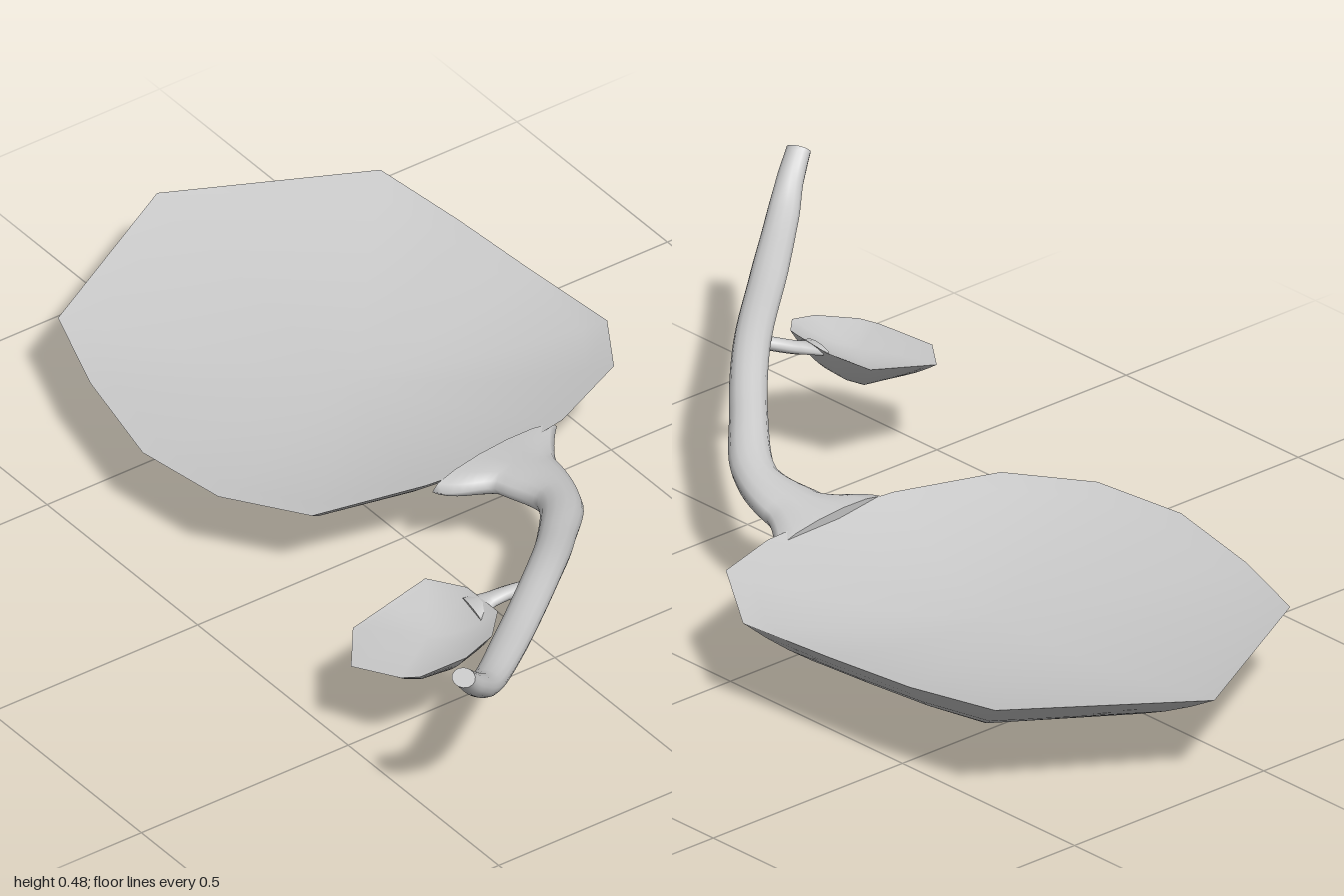
import * as THREE from 'three';
import { mergeGeometries } from 'three/addons/utils/BufferGeometryUtils.js';

const grey = new THREE.MeshStandardMaterial({ color: 0xcccccc, side: THREE.DoubleSide });

function makeGeometry(positions, index) {
  const g = new THREE.BufferGeometry();
  g.setAttribute('position', new THREE.Float32BufferAttribute(positions, 3));
  g.setIndex(index);
  g.computeVertexNormals();
  return g;
}

// One sheet of a leaf: rings shrink from the rim to the centre, following a bowl curve
function leafSheet(rim, centre, power, flip) {
  const rings = 10, n = rim.length;
  const pos = [...centre], idx = [];
  const tri = (a, b, c) => (flip ? idx.push(a, c, b) : idx.push(a, b, c));
  for (let r = 1; r <= rings; r++) {
    const t = r / rings;
    for (const [x, y, z] of rim) {
      pos.push(
        THREE.MathUtils.lerp(centre[0], x, t),
        THREE.MathUtils.lerp(centre[1], y, t ** power),
        THREE.MathUtils.lerp(centre[2], z, t)
      );
    }
  }
  for (let i = 0; i < n; i++) {
    const k = (i + 1) % n;
    tri(0, 1 + i, 1 + k);
    for (let r = 0; r < rings - 1; r++) {
      const a = 1 + r * n, b = a + n;
      tri(a + i, b + i, b + k);
      tri(a + i, b + k, a + k);
    }
  }
  return makeGeometry(pos, idx);
}

// Leaf: shallow dished top and a deeper rounded underside meeting at a sharp rim
function makeLeaf(name, rim, top, bottom) {
  const geo = mergeGeometries([
    leafSheet(rim, top, 2, false),
    leafSheet(rim, bottom, 2.1, true),
  ]);
  const mesh = new THREE.Mesh(geo, grey);
  mesh.name = name;
  return mesh;
}

// Stem: elliptical rings swept along a smooth path; stations are [x, y, z, halfWidth, halfHeight]
function makeStem(name, stations, steps, sides = 14) {
  const curve = new THREE.CatmullRomCurve3(stations.map((s) => new THREE.Vector3(s[0], s[1], s[2])));
  const pos = [], idx = [], last = stations.length - 1;
  const up = new THREE.Vector3(0, 1, 0);
  const addRing = (t) => {
    const f = t * last, k = Math.min(Math.floor(f), last - 1);
    const mix = THREE.MathUtils.smoothstep(f - k, 0, 1) * 0.4 + (f - k) * 0.6;
    const w = THREE.MathUtils.lerp(stations[k][3], stations[k + 1][3], mix);
    const h = THREE.MathUtils.lerp(stations[k][4], stations[k + 1][4], mix);
    const c = curve.getPoint(t), tan = curve.getTangent(t);
    const side = tan.clone().cross(up).normalize();
    const rise = side.clone().cross(tan);
    for (let i = 0; i < sides; i++) {
      const a = (i / sides) * Math.PI * 2;
      const p = c.clone().addScaledVector(side, Math.cos(a) * w).addScaledVector(rise, Math.sin(a) * h);
      pos.push(p.x, p.y, p.z);
    }
  };
  for (let j = 0; j <= steps; j++) addRing(j / steps);
  for (let j = 0; j < steps; j++) {
    for (let i = 0; i < sides; i++) {
      const k = (i + 1) % sides, a = j * sides, b = a + sides;
      idx.push(a + i, b + i, a + k, a + k, b + i, b + k);
    }
  }
  // flat end caps with their own vertices
  for (const t of [0, 1]) {
    const base = pos.length / 3;
    addRing(t);
    for (let i = 1; i < sides - 1; i++) {
      if (t === 0) idx.push(base, base + i, base + i + 1);
      else idx.push(base, base + i + 1, base + i);
    }
  }
  const mesh = new THREE.Mesh(makeGeometry(pos, idx), grey);
  mesh.name = name;
  return mesh;
}

export function createModel() {
  const model = new THREE.Group();
  model.name = 'leafBranch';

  // large cupped leaf
  const largeRim = [
    [-1, 0.195, -0.13], [-0.78, 0.19, 0.27], [-0.57, 0.187, 0.345], [-0.32, 0.187, 0.4],
    [-0.11, 0.19, 0.37], [0.05, 0.19, 0.26], [0.11, 0.2, 0.03], [0.125, 0.2, -0.12],
    [0.1, 0.21, -0.31], [0.03, 0.225, -0.485], [-0.13, 0.2, -0.585], [-0.35, 0.2, -0.565],
    [-0.57, 0.205, -0.545], [-0.78, 0.218, -0.51],
  ];
  model.add(makeLeaf('largeLeaf', largeRim, [-0.34, 0.135, -0.12], [-0.3, 0, -0.14]));

  // small leaf, tilted forward: rim height follows a sloping plane
  const smallOutline = [
    [0.44, 0.27], [0.44, 0.35], [0.44, 0.445], [0.53, 0.515], [0.64, 0.475],
    [0.67, 0.45], [0.7, 0.36], [0.69, 0.29], [0.64, 0.24], [0.53, 0.235],
  ];
  const smallRim = smallOutline.map(([x, z]) => [x, 0.285 - (z - 0.25) * 0.26 + (x - 0.57) * 0.08, z]);
  model.add(makeLeaf('smallLeaf', smallRim, [0.57, 0.24, 0.36], [0.57, 0.178, 0.36]));

  // main stem, flaring flat where it meets the large leaf
  model.add(makeStem('mainStem', [
    [0.1, 0.185, -0.145, 0.165, 0.03],
    [0.19, 0.193, -0.155, 0.075, 0.033],
    [0.32, 0.212, -0.14, 0.045, 0.034],
    [0.47, 0.26, -0.025, 0.038, 0.032],
    [0.61, 0.311, 0.11, 0.037, 0.028],
    [0.79, 0.338, 0.32, 0.037, 0.026],
    [0.91, 0.372, 0.465, 0.033, 0.026],
    [0.95, 0.415, 0.52, 0.028, 0.024],
    [0.973, 0.463, 0.565, 0.025, 0.02],
  ], 56));

  // short twig carrying the small leaf
  model.add(makeStem('twig', [
    [0.64, 0.312, 0.125, 0.014, 0.014],
    [0.605, 0.296, 0.175, 0.016, 0.014],
    [0.588, 0.283, 0.215, 0.02, 0.013],
    [0.58, 0.272, 0.26, 0.042, 0.009],
  ], 18, 10));

  return model;
}
